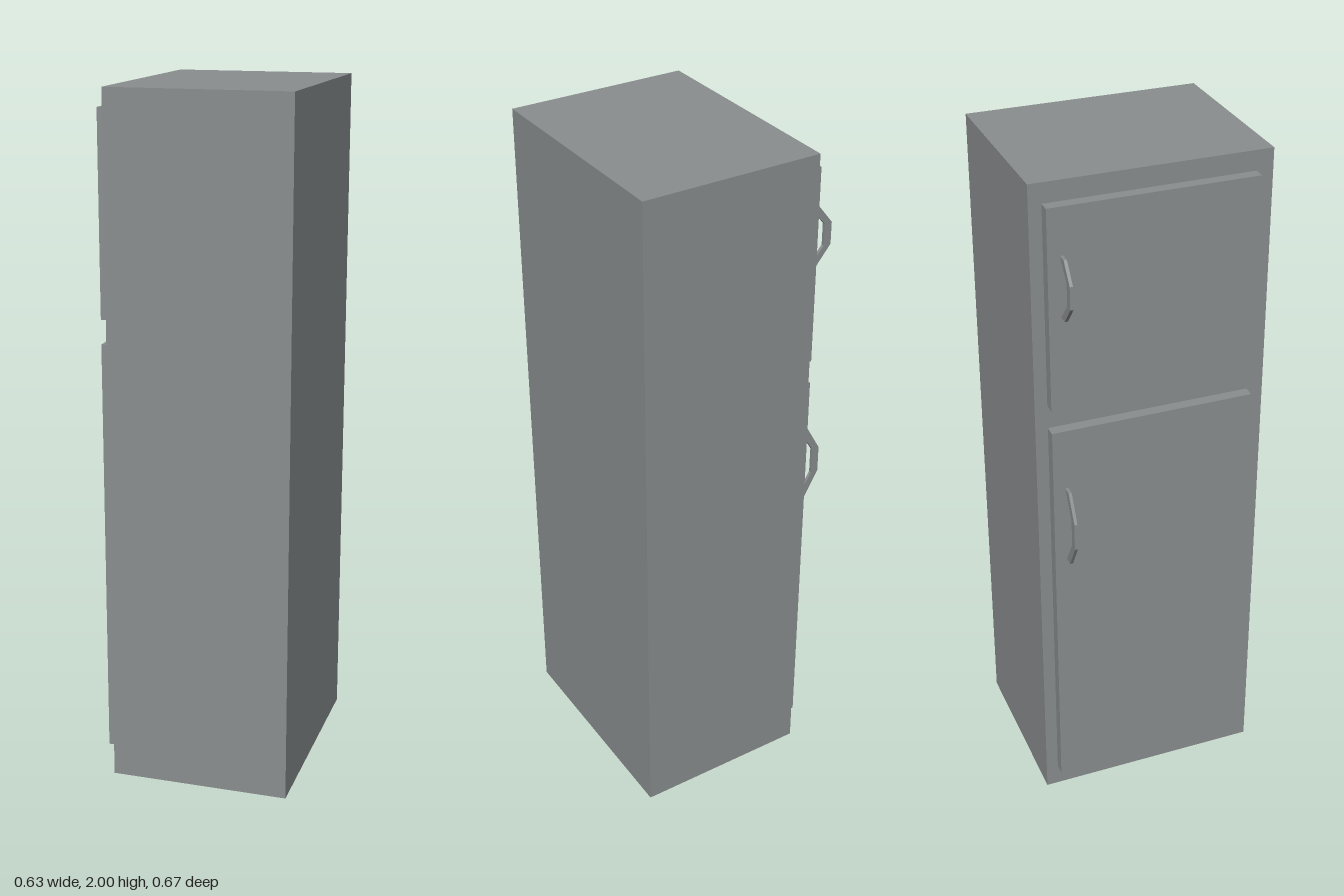
import * as THREE from 'three';

const grey = new THREE.MeshStandardMaterial({ color: 0x8a8e8f });
grey.name = 'grey';

// Box given by its minimum and maximum corners
function box(name, [x0, y0, z0], [x1, y1, z1]) {
  const mesh = new THREE.Mesh(new THREE.BoxGeometry(x1 - x0, y1 - y0, z1 - z0), grey);
  mesh.position.set((x0 + x1) / 2, (y0 + y1) / 2, (z0 + z1) / 2);
  mesh.name = name;
  return mesh;
}

// Flat angular bow handle; yIn0..yIn1 is its straight grip
function handle(name, y0, yIn0, yIn1, y1) {
  const shape = new THREE.Shape([
    [-0.243, y1], [-0.27, y1], [-0.313, yIn1], [-0.313, yIn0], [-0.27, y0],
    [-0.243, y0], [-0.29, yIn0], [-0.29, yIn1],
  ].map(([x, y]) => new THREE.Vector2(x, y)));
  const geometry = new THREE.ExtrudeGeometry(shape, { depth: 0.009, bevelEnabled: false });
  geometry.translate(0, 0, -0.266);
  const mesh = new THREE.Mesh(geometry, grey);
  mesh.name = name;
  return mesh;
}

export function createModel() {
  const model = new THREE.Group();
  model.name = 'refrigerator';
  model.add(
    box('cabinet', [-0.21, 0, -0.336], [0.313, 2, 0.336]),
    // Doors on the -x side
    box('freezerDoor', [-0.243, 1.363, -0.3], [-0.21, 1.943, 0.288]),
    box('mainDoor', [-0.243, 0.067, -0.3], [-0.21, 1.293, 0.288]),
    handle('freezerHandle', 1.637, 1.69, 1.755, 1.81),
    handle('mainHandle', 0.873, 0.95, 1.032, 1.11),
  );
  return model;
}
